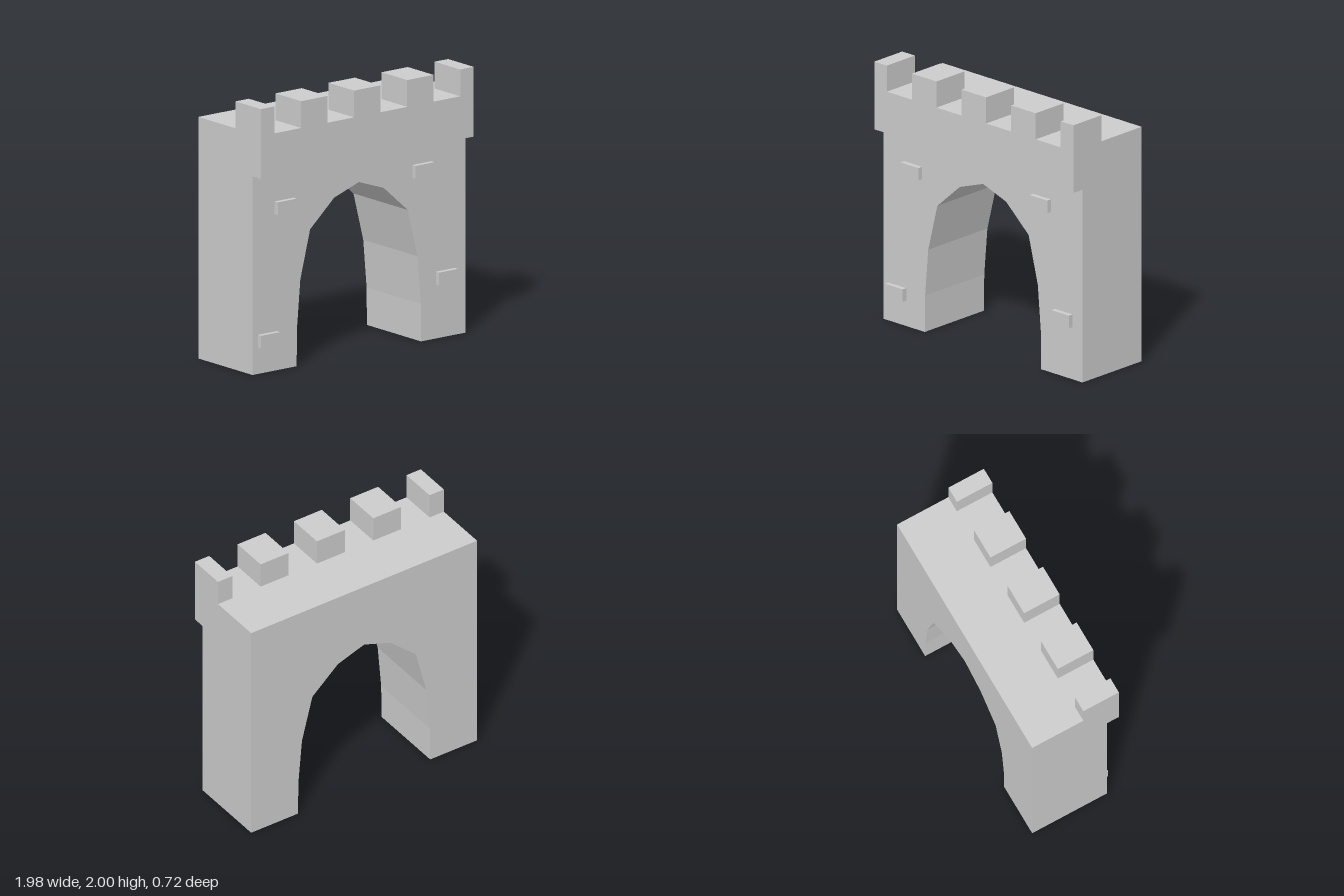
import * as THREE from 'three';

const material = new THREE.MeshStandardMaterial({ color: 0xcccccc, flatShading: true });

// Box given by its extents on each axis
function addBlock(parent, name, [x0, x1], [y0, y1], [z0, z1]) {
  const mesh = new THREE.Mesh(new THREE.BoxGeometry(x1 - x0, y1 - y0, z1 - z0), material);
  mesh.position.set((x0 + x1) / 2, (y0 + y1) / 2, (z0 + z1) / 2);
  mesh.name = name;
  parent.add(mesh);
}

export function createModel() {
  const model = new THREE.Group();
  model.name = 'castleGate';

  const half = 0.988, wallTop = 1.8, back = -0.36, wallFront = 0.263, front = 0.36;

  // Wall with a faceted arched passage open to the ground
  const arch = [[0.578, 0], [0.575, 0.28], [0.544, 0.64], [0.453, 1.0], [0.23, 1.2]];
  const outline = [
    [-half, 0],
    ...arch.map(([x, y]) => [-x, y]),
    [0, 1.28],
    ...arch.slice().reverse(),
    [half, 0], [half, wallTop], [-half, wallTop],
  ];
  const shape = new THREE.Shape(outline.map(([x, y]) => new THREE.Vector2(x, y)));
  const wall = new THREE.Mesh(
    new THREE.ExtrudeGeometry(shape, { depth: wallFront - back, bevelEnabled: false }), material);
  wall.position.z = back;
  wall.name = 'archedWall';
  model.add(wall);

  // Overhanging parapet band on the front
  addBlock(model, 'parapet', [-half, half], [1.48, wallTop], [wallFront, front]);

  // Battlements: three full merlons and a half one at each end
  const battlements = new THREE.Group();
  battlements.name = 'battlements';
  for (let i = -2; i <= 2; i++) {
    const centre = i * 0.4925;
    const x0 = Math.max(-half, centre - 0.122), x1 = Math.min(half, centre + 0.122);
    addBlock(battlements, 'merlon', [x0, x1], [wallTop, 2], [0.065, front]);
  }
  model.add(battlements);

  // Raised stones on the front face
  const stones = new THREE.Group();
  stones.name = 'raisedStones';
  for (const [x, y] of [[-0.695, 1.213], [0.585, 1.28], [0.802, 0.45], [-0.85, 0.243]]) {
    addBlock(stones, 'stone', [x - 0.088, x + 0.088], [y - 0.048, y + 0.048], [wallFront, 0.3]);
  }
  model.add(stones);

  return model;
}
